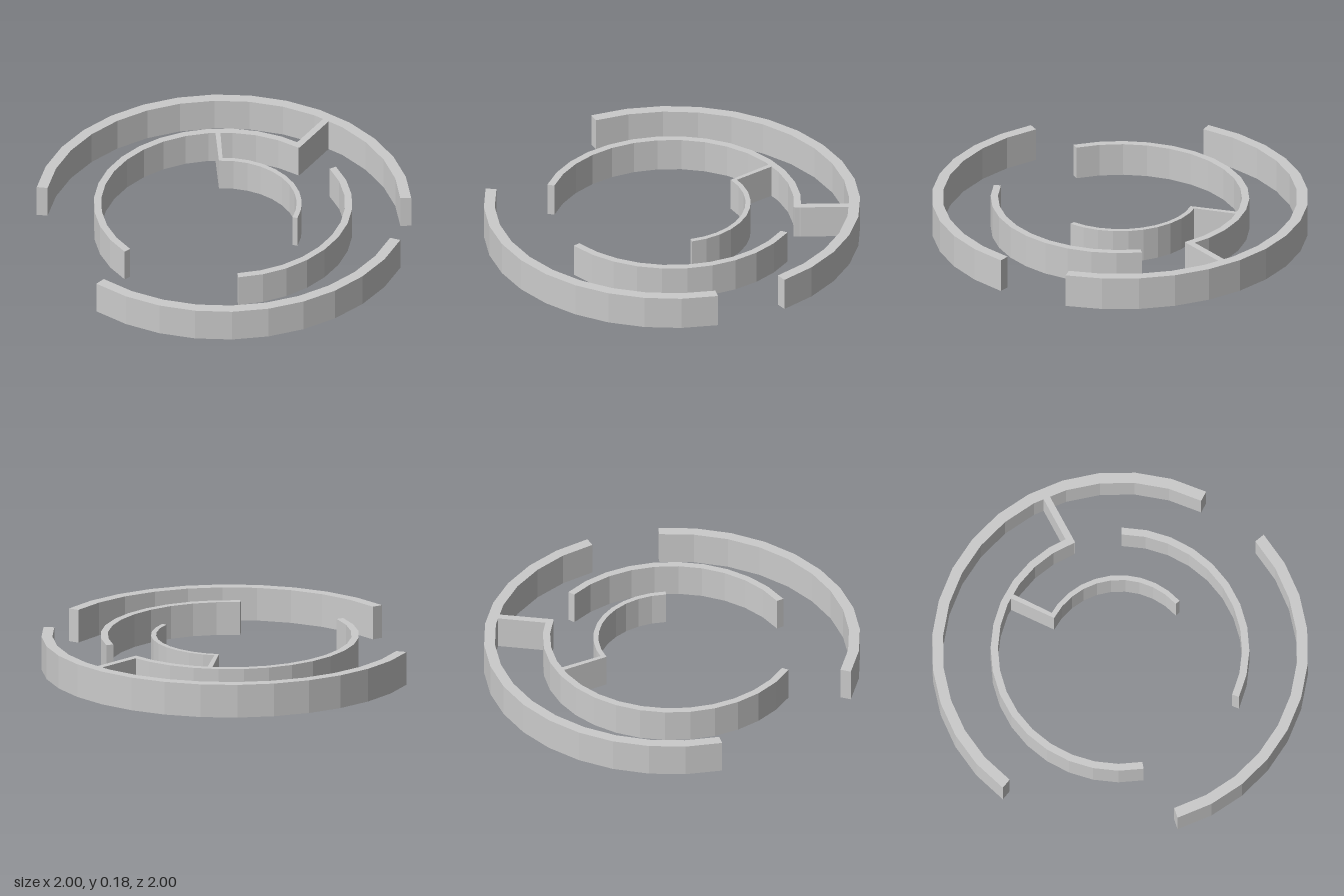
import * as THREE from 'three';

const HEIGHT = 0.18;
const STEP = 11.25; // degrees per facet, 32 to a full circle

const material = new THREE.MeshStandardMaterial({ color: 0xcccccc, flatShading: true });

// Plan outline (x right, y toward the back) raised to the wall height.
function raise(name, outline) {
  const points = outline.map(([x, y]) => new THREE.Vector2(x, y));
  const geometry = new THREE.ExtrudeGeometry(new THREE.Shape(points), { depth: HEIGHT, bevelEnabled: false });
  geometry.rotateX(-Math.PI / 2);
  const mesh = new THREE.Mesh(geometry, material);
  mesh.name = name;
  return mesh;
}

// Faceted curved wall from a start angle, counter-clockwise.
function arcWall(name, outer, inner, startDeg, facets) {
  const along = (r) => Array.from({ length: facets + 1 }, (_, i) => {
    const a = THREE.MathUtils.degToRad(startDeg + i * STEP);
    return [r * Math.cos(a), r * Math.sin(a)];
  });
  return raise(name, [...along(outer), ...along(inner).reverse()]);
}

export function createModel() {
  const model = new THREE.Group();
  model.name = 'circularMaze';
  model.add(
    // outer ring, with two gaps
    arcWall('outerWallBack', 1, 0.942, 45, 15),
    arcWall('outerWallFront', 1, 0.942, -90, 10),
    // middle ring, turned slightly
    arcWall('middleWallRight', 0.687, 0.648, 94, 15),
    arcWall('middleWallLeft', 0.687, 0.648, -41, 10),
    // inner ring
    arcWall('innerWall', 0.418, 0.391, 23, 10),
    // straight walls joining the rings
    raise('outerSpoke', [[-0.13, 0.945], [-0.085, 0.675], [-0.043, 0.651], [-0.093, 0.945]]),
    raise('innerSpoke', [[-0.477, 0.463], [-0.283, 0.278], [-0.276, 0.3], [-0.456, 0.48]]),
  );
  return model;
}
